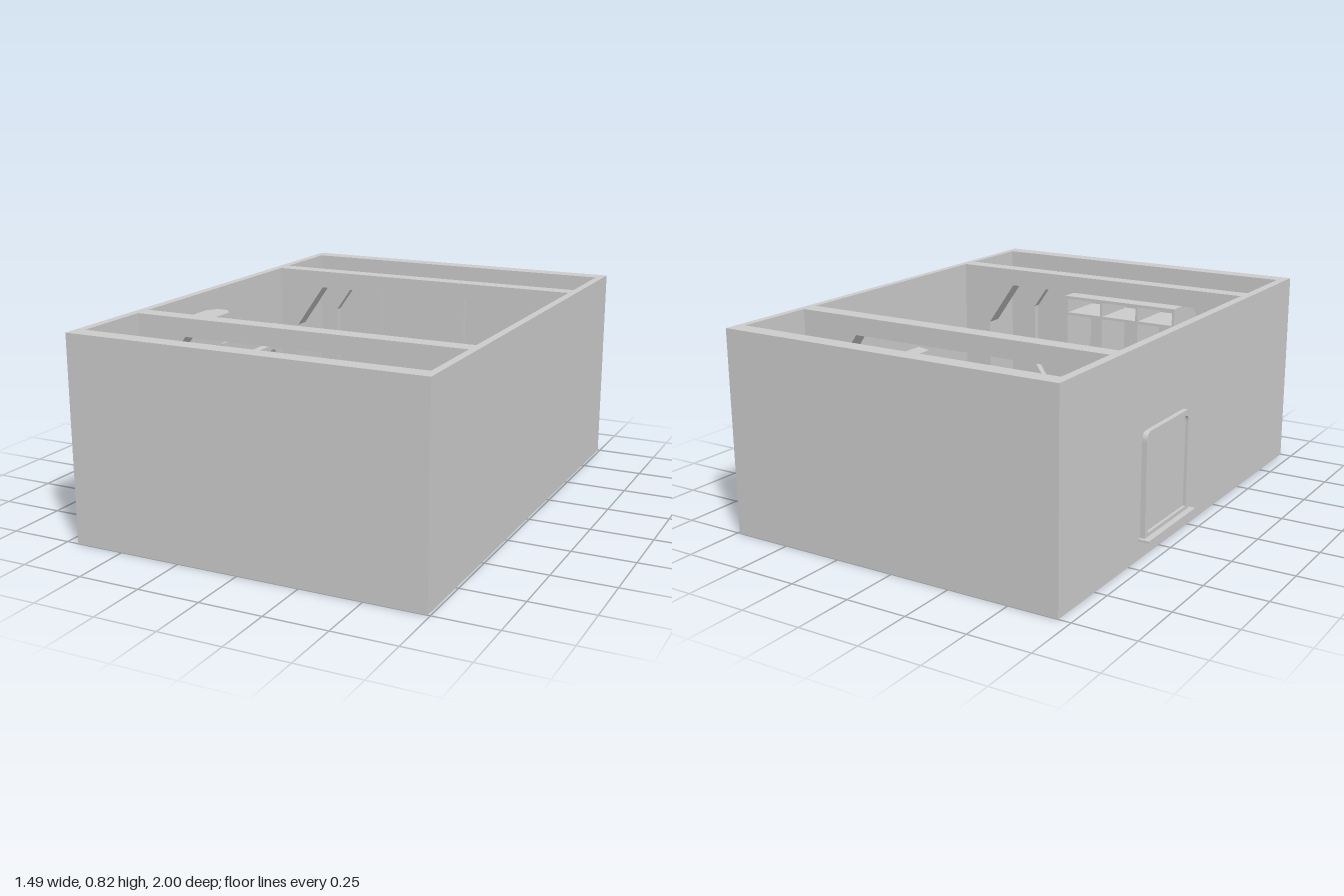
import * as THREE from 'three';

const grey = new THREE.MeshStandardMaterial({ color: 0xcccccc });
grey.name = 'plain grey';

const FLOOR = 0.075, TOP = 0.82;
const X0 = -0.665, X1 = 0.71; // inner faces of the side walls

function add(parent, name, geometry) {
  const mesh = new THREE.Mesh(geometry, grey);
  mesh.name = name;
  parent.add(mesh);
  return mesh;
}

// Box given by its limits on each axis
function box(parent, name, x0, x1, y0, y1, z0, z1) {
  const mesh = add(parent, name, new THREE.BoxGeometry(x1 - x0, y1 - y0, z1 - z0));
  mesh.position.set((x0 + x1) / 2, (y0 + y1) / 2, (z0 + z1) / 2);
  return mesh;
}

function polygon(points, Type = THREE.Shape) {
  return new Type(points.map(([x, y]) => new THREE.Vector2(x, y)));
}

function extrude(shape, depth) {
  return new THREE.ExtrudeGeometry(shape, { depth, bevelEnabled: false, curveSegments: 6 });
}

// Wall across the room with an octagonal opening
function octagonWall(parent, name, z0, z1) {
  const shape = polygon([[X0, FLOOR], [X1, FLOOR], [X1, TOP], [X0, TOP]]);
  const right = [[0.45, 0.08], [0.58, 0.28], [0.58, 0.56], [0.45, 0.747]];
  const left = right.map(([x, y]) => [-x, y]).reverse();
  shape.holes.push(polygon([...right, ...left], THREE.Path));
  add(parent, name, extrude(shape, z1 - z0)).position.z = z0;
}

// Rectangle with rounded upper corners, in (z, y)
function arch(Type, z0, z1, y0, y1, r) {
  const s = new Type();
  s.moveTo(z0, y0);
  s.lineTo(z1, y0);
  s.lineTo(z1, y1 - r);
  s.quadraticCurveTo(z1, y1, z1 - r, y1);
  s.lineTo(z0 + r, y1);
  s.quadraticCurveTo(z0, y1, z0, y1 - r);
  s.closePath();
  return s;
}

function buildShell(root) {
  const g = new THREE.Group();
  g.name = 'roomShell';
  root.add(g);
  box(g, 'floor', X0, X1, 0, FLOOR, -0.965, 0.965);
  box(g, 'rightWall', -0.70, X0, 0, TOP, -1, 1);
  box(g, 'leftWall', X1, 0.74, 0, TOP, -1, 1);
  box(g, 'backWall', X0, X1, 0, TOP, -1, -0.965);
  box(g, 'frontWall', X0, X1, 0, TOP, 0.965, 1);
  octagonWall(g, 'backRecess', -0.965, -0.93);
  octagonWall(g, 'backPartition', -0.60, -0.53);
  octagonWall(g, 'frontPartition', 0.53, 0.60);
  octagonWall(g, 'frontRecess', 0.93, 0.965);
}

function buildCabinet(root) {
  const g = new THREE.Group();
  g.name = 'lowCabinet';
  root.add(g);
  box(g, 'cabinetBody', -0.44, 0.54, FLOOR, 0.26, -0.965, -0.70);
  box(g, 'cabinetTop', -0.45, 0.55, 0.26, 0.275, -0.965, -0.69);
  for (let i = 0; i < 4; i++) {
    const x = -0.435 + i * 0.245;
    box(g, 'cabinetDoor', x, x + 0.235, 0.09, 0.253, -0.70, -0.694);
    const h = i % 2 ? x + 0.025 : x + 0.21;
    box(g, 'doorHandle', h - 0.006, h + 0.006, 0.19, 0.235, -0.694, -0.684);
  }
}

function buildWallScreen(root) {
  const g = new THREE.Group();
  g.name = 'wallScreen';
  root.add(g);
  const frame = polygon([[-0.36, 0.375], [0.08, 0.375], [0.08, 0.685], [-0.36, 0.685]]);
  frame.holes.push(polygon([[-0.345, 0.39], [0.065, 0.39], [0.065, 0.67], [-0.345, 0.67]], THREE.Path));
  add(g, 'screenFrame', extrude(frame, 0.02)).position.z = -0.965;
  box(g, 'screenPanel', -0.345, 0.065, 0.39, 0.67, -0.965, -0.955);
}

function buildBookcase(root) {
  const g = new THREE.Group();
  g.name = 'bookcase';
  root.add(g);
  const x0 = -0.27, x1 = 0.29, t = 0.012;
  for (let i = 0; i < 4; i++) {
    const x = x0 + i * (x1 - x0 - t) / 3;
    box(g, 'bookcaseUpright', x, x + t, FLOOR, 0.67, 0.732, 0.966);
  }
  for (const y of [0.08, 0.335, 0.59]) box(g, 'bookcaseShelf', x0, x1, y, y + t, 0.735, 0.966);
  box(g, 'bookcaseTop', x0, x1, 0.667, 0.68, 0.73, 0.966);
  box(g, 'bookcaseBack', x0, x1, 0.09, 0.60, 0.955, 0.999);
}

function buildWindow(root) {
  const g = new THREE.Group();
  g.name = 'sideWindow';
  root.add(g);
  // Turned so that the shape's x runs along -z and its depth along +x
  const place = (name, shape, x, depth) => {
    const mesh = add(g, name, extrude(shape, depth));
    mesh.rotation.y = Math.PI / 2;
    mesh.position.x = x;
  };
  const frame = arch(THREE.Shape, 0.04, 0.41, 0.08, 0.495, 0.035);
  frame.holes.push(arch(THREE.Path, 0.062, 0.388, 0.10, 0.473, 0.025));
  place('windowFrame', frame, -0.72, 0.10);
  place('windowPane', arch(THREE.Shape, 0.06, 0.39, 0.10, 0.475, 0.025), -0.708, 0.06);
  box(g, 'outerSill', -0.745, -0.70, 0.075, 0.085, -0.425, -0.025);
  box(g, 'innerSill', -0.665, -0.60, 0.075, 0.087, -0.425, -0.025);
  box(g, 'wallPanel', -0.665, -0.655, FLOOR, 0.575, -0.46, 0.01);
}

function buildAlcoveShelf(root) {
  const g = new THREE.Group();
  g.name = 'alcoveShelf';
  root.add(g);
  // Plan with clipped corners
  const plan = polygon([[-0.625, -0.50], [-0.575, -0.50], [-0.545, -0.46], [-0.545, -0.13],
    [-0.575, -0.09], [-0.625, -0.09], [-0.655, -0.13], [-0.655, -0.46]]);
  for (const [y, h] of [[FLOOR, 0.05], [0.29, 0.02], [0.49, 0.02], [0.69, 0.055]]) {
    const mesh = add(g, 'alcoveBoard', extrude(plan, h));
    mesh.rotation.x = -Math.PI / 2;
    mesh.position.y = y;
    mesh.scale.y = 1;
  }
  box(g, 'alcoveBack', -0.665, -0.645, FLOOR, 0.74, 0.13, 0.46);
}

function buildDesk(root) {
  const g = new THREE.Group();
  g.name = 'computerDesk';
  root.add(g);
  box(g, 'deskTop', 0.46, X1, 0.345, 0.365, -0.22, 0.21);
  // Slanted side supports
  const side = polygon([[0.37, FLOOR], [0.70, FLOOR], [0.70, 0.345], [0.46, 0.345], [0.37, 0.10]]);
  side.holes.push(polygon([[0.41, 0.10], [0.66, 0.10], [0.66, 0.32], [0.48, 0.32]], THREE.Path));
  for (const z of [-0.22, 0.19]) add(g, 'deskSide', extrude(side, 0.02)).position.z = z;

  // Monitor tapering to the rear
  const plan = polygon([[0.60, -0.075], [0.675, -0.10], [0.675, 0.10], [0.60, 0.075]]);
  const monitor = add(g, 'monitor', extrude(plan, 0.13));
  monitor.rotation.x = -Math.PI / 2;
  monitor.position.y = 0.39;
  box(g, 'monitorStand', 0.61, 0.66, 0.365, 0.39, -0.04, 0.04);
  box(g, 'keyboard', 0.53, 0.58, 0.365, 0.375, -0.095, 0.09);
  box(g, 'mouse', 0.525, 0.555, 0.365, 0.374, 0.125, 0.145);
}

export function createModel() {
  const root = new THREE.Group();
  root.name = 'furnishedRooms';
  buildShell(root);
  buildCabinet(root);
  buildWallScreen(root);
  buildBookcase(root);
  buildWindow(root);
  buildAlcoveShelf(root);
  buildDesk(root);
  return root;
}
